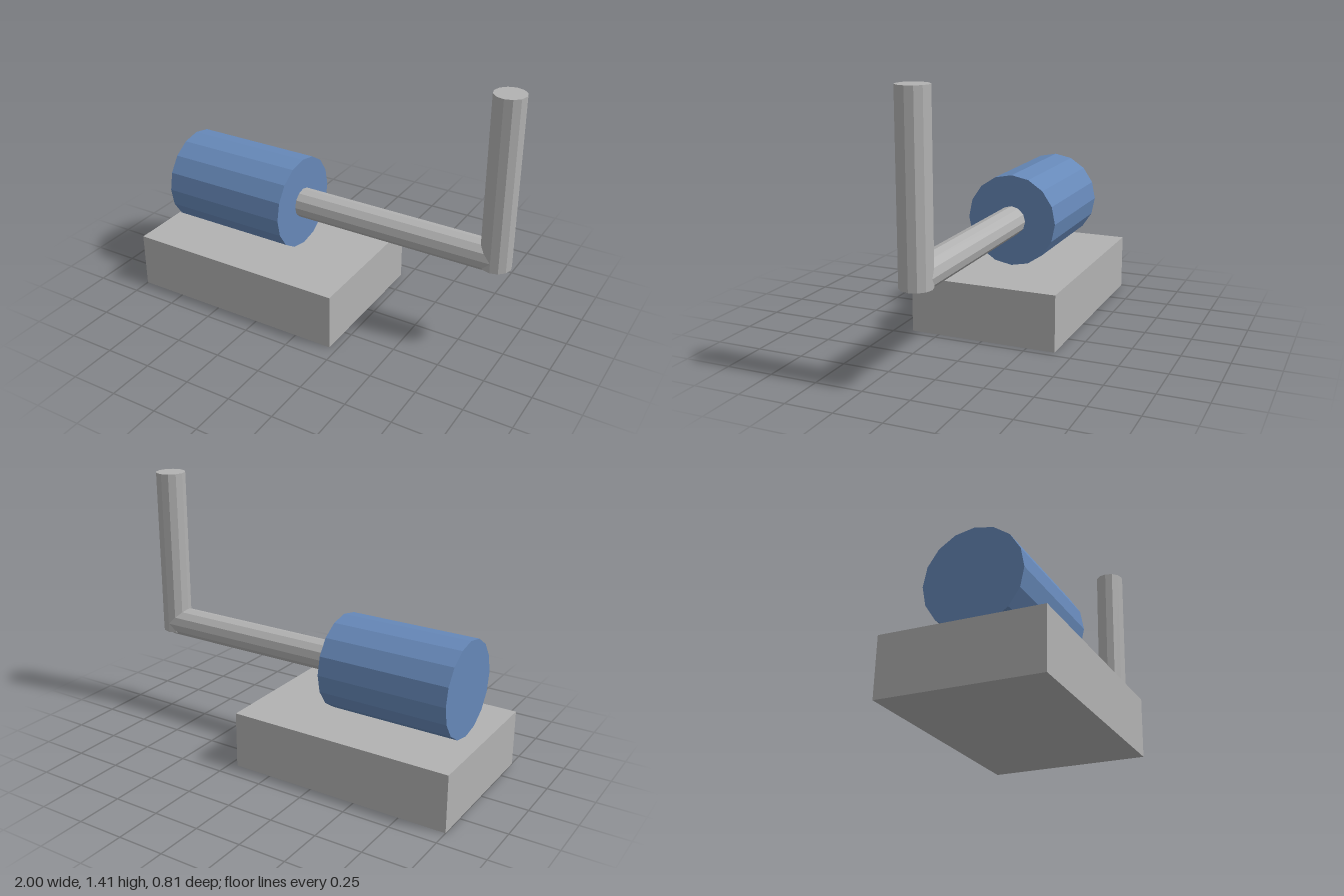
import * as THREE from 'three';

export function createModel() {
  const model = new THREE.Group();
  const grey = new THREE.MeshStandardMaterial({ color: 0xb2b2b2, flatShading: true });
  grey.name = 'grey metal';
  const blue = new THREE.MeshStandardMaterial({ color: 0x6688b8, flatShading: true });
  blue.name = 'blue paint';

  const add = (name, geometry, material, x, y) => {
    const mesh = new THREE.Mesh(geometry, material);
    mesh.name = name;
    mesh.position.set(x, y, 0);
    model.add(mesh);
  };
  // Cylinder lying along x
  const lying = (radius, length, sides) =>
    new THREE.CylinderGeometry(radius, radius, length, sides).rotateZ(Math.PI / 2);

  const axleY = 0.555, rodRadius = 0.0805, handleX = 1 - rodRadius;
  const drumLeft = -0.9, drumRight = -0.196, axleStart = -0.3;

  // Base block
  add('base', new THREE.BoxGeometry(1.208, 0.303, 0.806), grey, -0.396, 0.1515);
  // Drum resting on the base
  add('drum', lying(0.252, drumRight - drumLeft, 16), blue, (drumLeft + drumRight) / 2, axleY);
  // Axle from the drum to the centre of the handle
  add('axle', lying(rodRadius, handleX - axleStart, 12), grey, (axleStart + handleX) / 2, axleY);
  // Upright crank handle
  add('handle', new THREE.CylinderGeometry(rodRadius, rodRadius, 0.91, 12), grey, handleX, 0.505 + 0.455);

  return model;
}
